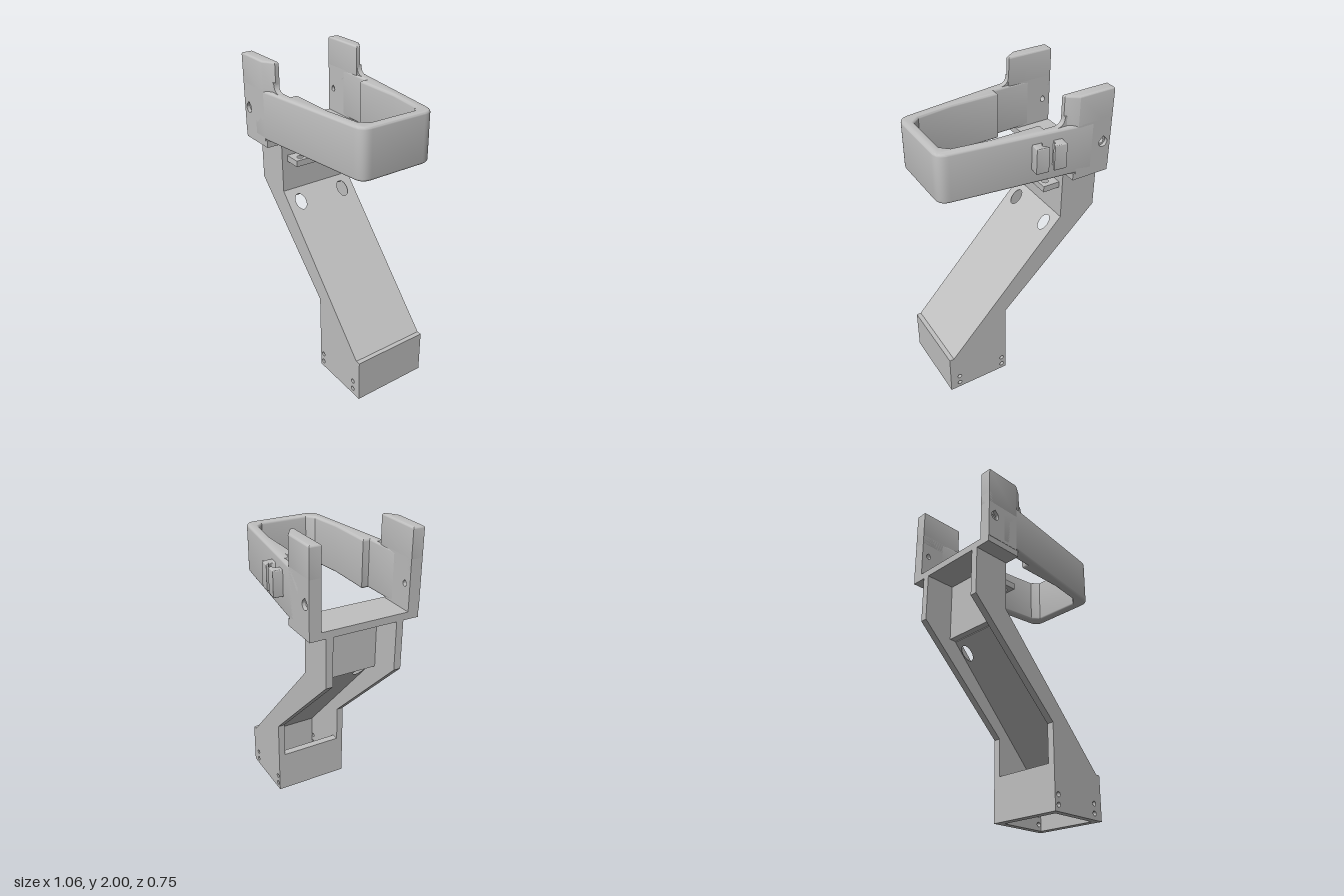
import * as THREE from 'three';
import { toCreasedNormals } from 'three/addons/utils/BufferGeometryUtils.js';

const ZC = 0.0225; // symmetry plane of the bracket

const toShape = (pts) => new THREE.Shape(pts.map(([x, y]) => new THREE.Vector2(x, y)));

function circle(x, y, r) {
  const p = new THREE.Path();
  p.absarc(x, y, r, 0, Math.PI * 2, true);
  return p;
}

// Printed-style hole: a circle with a pointed top
function teardrop(x, y, r) {
  const p = new THREE.Path();
  p.absarc(x, y, r, Math.PI * 0.75, Math.PI * 0.25, false);
  p.lineTo(x, y + r * 1.41);
  p.closePath();
  return p;
}

// Extrude an x/y shape along z
function sideSolid(shape, z0, z1) {
  const g = new THREE.ExtrudeGeometry(shape, { depth: z1 - z0, bevelEnabled: false, curveSegments: 12 });
  return toCreasedNormals(g.translate(0, 0, z0), 0.6);
}

// Extrude an x/z outline upwards, with optional rounded edges
function planSolid(pts, y0, y1, round = 0, holes = []) {
  const shape = toShape(pts.map(([x, z]) => [x, -z]));
  for (const [x, z, r] of holes) shape.holes.push(circle(x, -z, r));
  const g = new THREE.ExtrudeGeometry(shape, {
    depth: y1 - y0 - 2 * round, bevelEnabled: round > 0, bevelThickness: round,
    bevelSize: round, bevelOffset: -round, bevelSegments: 4, curveSegments: 12,
  });
  g.rotateX(-Math.PI / 2).translate(0, y0 + round, 0);
  return toCreasedNormals(g, 0.6);
}

export function createModel() {
  const model = new THREE.Group();
  model.name = 'holderBracket';
  const grey = new THREE.MeshStandardMaterial({ color: 0xc0c0c0 });
  grey.name = 'lightGrey';

  const add = (name, geometry) => {
    const mesh = new THREE.Mesh(geometry, grey);
    mesh.name = name;
    model.add(mesh);
    return mesh;
  };
  const box = (name, x0, x1, y0, y1, z0, z1) =>
    add(name, new THREE.BoxGeometry(x1 - x0, y1 - y0, z1 - z0)
      .translate((x0 + x1) / 2, (y0 + y1) / 2, (z0 + z1) / 2));

  // Side walls of the cranked arm, with screw holes at the foot
  const armProfile = [
    [-0.53, 1.466], [-0.53, 1.155], [0.11, 0.53], [0.11, 0], [0.53, 0],
    [0.53, 0.285], [0.5, 0.285], [-0.285, 1.14], [-0.285, 1.466],
  ];
  for (const [name, z0] of [['armWallBack', -0.2275], ['armWallFront', 0.2275]]) {
    const wall = toShape(armProfile);
    for (const x of [0.14, 0.465]) for (const y of [0.04, 0.1]) wall.holes.push(circle(x, y, 0.015));
    add(name, sideSolid(wall, z0, z0 + 0.045));
  }

  // Sloping web, sheared so that its access holes stay vertical
  const web = planSolid([[-0.285, -0.185], [0.5, -0.185], [0.5, 0.23], [-0.285, 0.23]],
    -0.06, 0, 0, [[-0.22, -0.14, 0.036], [-0.22, 0.185, 0.036]]);
  const pos = web.attributes.position;
  for (let i = 0; i < pos.count; i++) {
    pos.setY(i, pos.getY(i) + 1.14 - (pos.getX(i) + 0.285) * (0.855 / 0.785));
  }
  web.computeVertexNormals();
  add('armWeb', toCreasedNormals(web, 0.6));
  box('armFrontWall', -0.33, -0.285, 1.085, 1.47, -0.185, 0.23);

  // Square socket at the foot
  box('socketFrontWall', 0.485, 0.53, 0, 0.285, -0.185, 0.23);
  box('socketBackWall', 0.11, 0.158, 0, 0.285, -0.185, 0.23);

  // Tab with two screw holes
  add('screwTab', planSolid([[-0.29, -0.193], [-0.175, -0.193], [-0.175, 0.235], [-0.29, 0.235]],
    1.34, 1.38, 0, [[-0.217, -0.143, 0.02], [-0.217, 0.183, 0.02]]));

  // Plate between the arm and the posts
  box('topPlate', -0.53, -0.283, 1.465, 1.51, ZC - 0.35, ZC + 0.35);

  // Tapered loop: one half outline, mirrored about the symmetry plane
  const corner = new THREE.QuadraticBezierCurve(
    new THREE.Vector2(0.46, 0.254), new THREE.Vector2(0.528, 0.246), new THREE.Vector2(0.528, 0.18),
  ).getPoints(8).map((p) => [p.x, p.y]);
  const outer = [[-0.4, 0.352], [-0.298, 0.352], ...corner];
  const inner = [[0.466, 0.155], [0.42, 0.198], [0.2, 0.227], [-0.118, 0.227], [-0.118, 0.272], [-0.4, 0.28]];
  const at = (s) => ([x, h]) => [x, ZC + s * h];
  const mirrored = (list) => [...list].reverse().map(at(-1));
  add('holderLoop', planSolid(
    [...outer.map(at(1)), ...mirrored(outer), ...mirrored(inner), ...inner.map(at(1))], 1.51, 1.822, 0.016));

  // Upright posts at the open end
  for (const s of [1, -1]) {
    const side = s > 0 ? 'Front' : 'Back';
    const span = (a, b) => [ZC + s * a, ZC + s * b].sort((p, q) => p - q);

    // Lower block with a countersunk teardrop hole
    for (const [r, a, b] of [[0.017, 0.279, 0.33], [0.029, 0.33, 0.352]]) {
      const block = toShape([[-0.53, 1.505], [-0.298, 1.505], [-0.298, 1.82], [-0.53, 1.82]]);
      block.holes.push(teardrop(-0.48, 1.665, r));
      add('postBase' + side, sideSolid(block, ...span(a, b)));
    }

    // Upper post with a chamfered leading edge
    const post = [[-0.53, 0.352], [-0.298, 0.352], [-0.226, 0.305], [-0.226, 0.279], [-0.53, 0.279]];
    add('postTop' + side, planSolid(post.map(at(s)), 1.74, 2, 0.012));

    // Fillet between post and loop
    const fillet = new THREE.Shape();
    fillet.moveTo(-0.24, 1.8);
    fillet.lineTo(-0.17, 1.8);
    fillet.lineTo(-0.17, 1.821);
    fillet.quadraticCurveTo(-0.226, 1.822, -0.227, 1.88);
    fillet.lineTo(-0.24, 1.88);
    add('postFillet' + side, sideSolid(fillet, ...span(0.284, 0.318)));
  }

  // Pair of hooks forming a cable clip
  const hooks = [
    [[-0.195, -0.375], [-0.12, -0.366], [-0.122, -0.348], [-0.143, -0.333], [-0.148, -0.317],
      [-0.14, -0.302], [-0.12, -0.28], [-0.205, -0.28]],
    [[-0.087, -0.363], [-0.01, -0.354], [-0.018, -0.28], [-0.11, -0.28], [-0.072, -0.305],
      [-0.064, -0.322], [-0.068, -0.338], [-0.087, -0.35]],
  ];
  for (const hook of hooks) add('cableClipHook', planSolid(hook, 1.605, 1.765, 0.006));

  return model;
}
